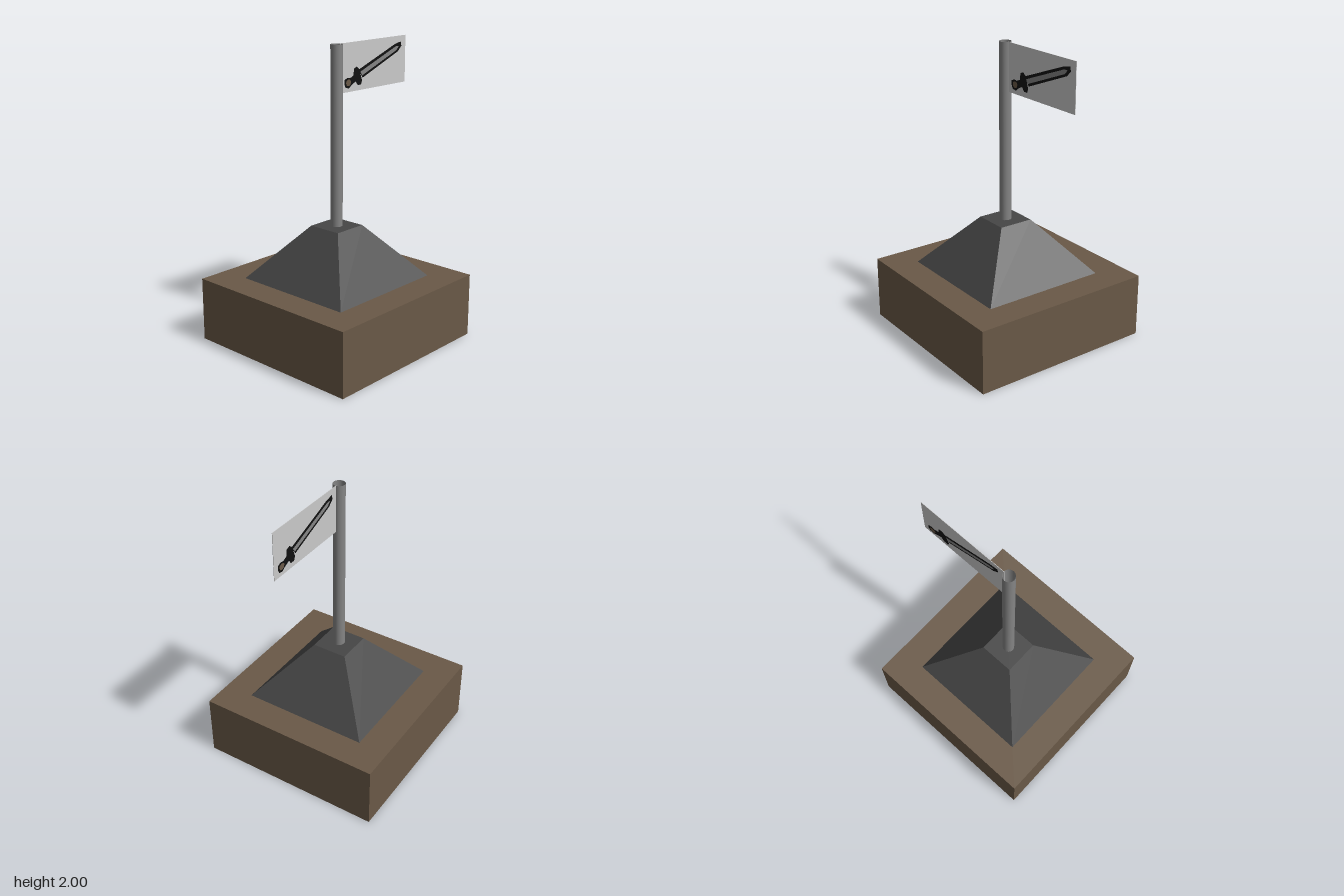
import * as THREE from 'three';

const mat = (name, color) => {
  const m = new THREE.MeshStandardMaterial({ color });
  m.name = name;
  return m;
};

export function createModel() {
  const brown = mat('earth brown', 0x6a5947);
  const dark = mat('dark stone', 0x464646);
  const steel = mat('steel grey', 0x858585);
  const cloth = mat('pale cloth', 0xc9c9c9);
  const black = mat('outline black', 0x111111);
  const poleMat = mat('pole grey', 0x858585);
  poleMat.side = THREE.DoubleSide;

  const model = new THREE.Group();
  const add = (parent, name, geometry, material, x, y, z) => {
    const mesh = new THREE.Mesh(geometry, material);
    mesh.name = name;
    mesh.position.set(x, y, z);
    parent.add(mesh);
    return mesh;
  };
  const cz = 0.025; // the pole and its base share this centre

  // Square ground block
  add(model, 'groundBlock', new THREE.BoxGeometry(1.28, 0.435, 1.28), brown, 0, 0.2175, cz);

  // Truncated pyramid: a box whose top corners are pulled inward
  const plinth = new THREE.BoxGeometry(0.87, 0.365, 0.87);
  const p = plinth.attributes.position;
  for (let i = 0; i < p.count; i++) {
    if (p.getY(i) > 0) p.setXYZ(i, Math.sign(p.getX(i)) * 0.12, p.getY(i), Math.sign(p.getZ(i)) * 0.12);
  }
  plinth.computeVertexNormals();
  add(model, 'plinth', plinth, dark, 0, 0.6175, cz);

  // Open, hollow pole with the brown floor visible at its bottom
  add(model, 'pole', new THREE.CylinderGeometry(0.04, 0.04, 1.2, 16, 1, true), poleMat, 0, 1.4, cz);
  add(model, 'poleFloor', new THREE.CircleGeometry(0.04, 16).rotateX(-Math.PI / 2), brown, 0, 0.803, cz);

  // Flag: local x runs away from the pole
  const flag = new THREE.Group();
  flag.name = 'flag';
  flag.position.set(0, 1.84, -0.3375);
  flag.rotation.y = Math.PI / 2;
  model.add(flag);
  add(flag, 'cloth', new THREE.BoxGeometry(0.655, 0.32, 0.003), cloth, 0, 0, 0);

  // Sword emblem, drawn in hundredths of a unit from the flag centre
  const outline = (pts) => new THREE.ShapeGeometry(
    new THREE.Shape(pts.map(([x, y]) => new THREE.Vector2(x / 100, y / 100))));
  const parts = [
    ['bladeOutline', black, [[-15.5, -2.5], [22, 11], [27.5, 12], [28.3, 9], [24.7, 5.6], [-11.5, -8.2]]],
    ['guard', black, [[-20, -1.3], [-17.2, -0.3], [-14.6, -2.4], [-13.5, -5.6], [-12, -9.8],
      [-13, -12.5], [-16.2, -12.5], [-18.3, -9.8], [-20.4, -5.6]]],
    ['grip', black, [[-23.5, -7], [-19, -5], [-17.5, -9.5], [-22, -11.6]]],
    ['pommelOutline', black, [[-29, -7.7], [-26.3, -6.6], [-23, -7.2], [-21.5, -9], [-22, -11.5],
      [-24.7, -13.6], [-27.9, -13], [-29, -10.9]]],
    ['blade', steel, [[-14, -4], [22.4, 9.3], [25.5, 9.2], [23, 6.6], [-12, -6.6]]],
    ['pommel', brown, [[-27.5, -8.8], [-26, -7.7], [-24, -8], [-22.9, -9.3], [-23.4, -11.2],
      [-25, -12.1], [-27, -11.6], [-27.7, -10.2]]],
  ];
  for (const side of [0, 1]) {
    const emblem = new THREE.Group();
    emblem.name = side ? 'emblemBack' : 'emblemFront';
    emblem.rotation.y = side * Math.PI;
    parts.forEach(([name, material, pts]) =>
      add(emblem, name, outline(pts), material, 0, 0, material === black ? 0.003 : 0.0045));
    flag.add(emblem);
  }
  return model;
}
